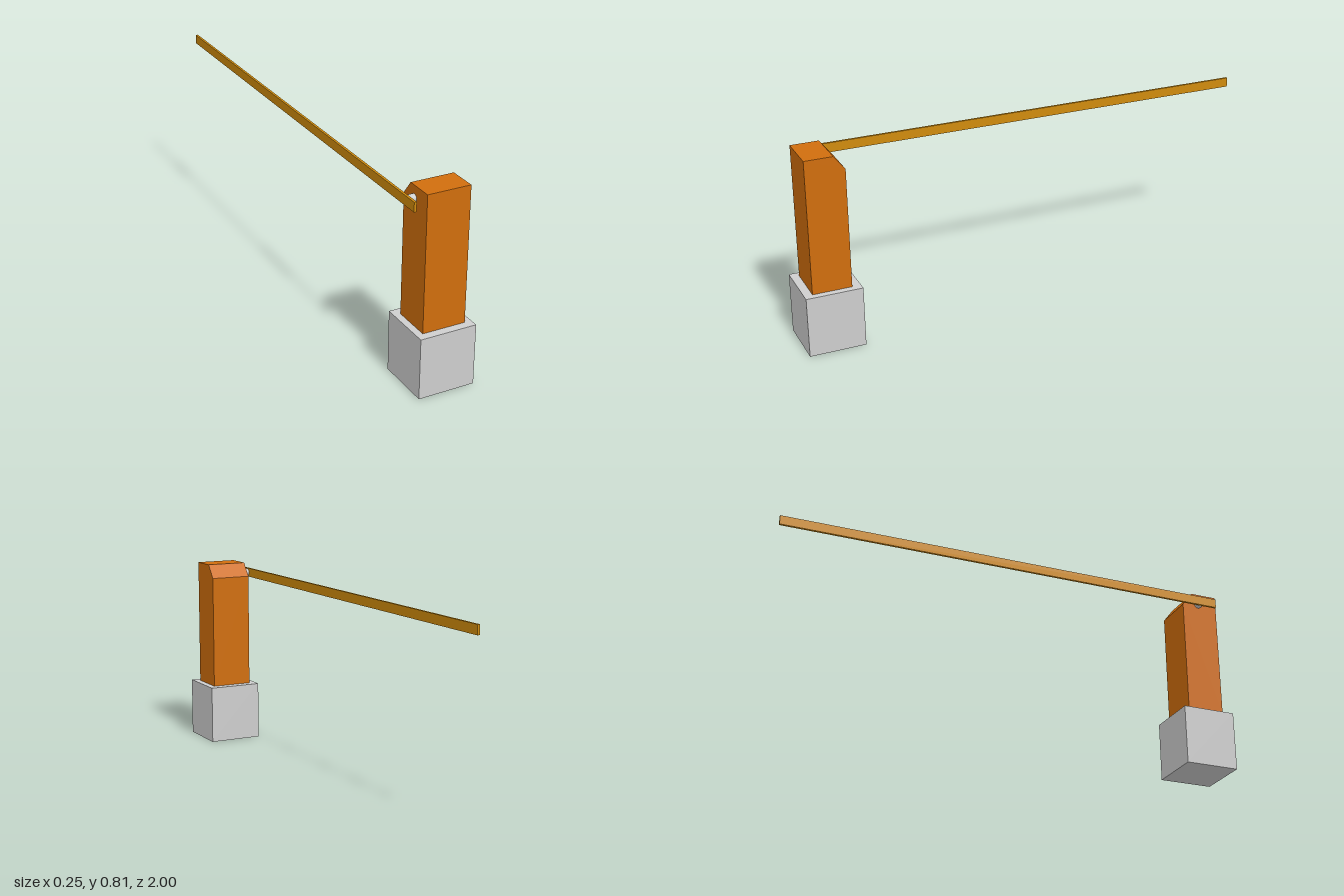
import * as THREE from 'three';

const material = (name, color) => {
  const m = new THREE.MeshStandardMaterial({ color });
  m.name = name;
  return m;
};

export function createModel() {
  const group = new THREE.Group();
  group.name = 'barrierGate';
  const concrete = material('concrete grey', 0xcecece);
  const orange = material('cabinet orange', 0xd06e0d);
  const amber = material('boom amber', 0xd08b0d);

  const add = (name, geometry, mat) => {
    const mesh = new THREE.Mesh(geometry, mat);
    mesh.name = name;
    group.add(mesh);
    return mesh;
  };
  // Box given by its lower and upper corners
  const box = (name, [x0, y0, z0], [x1, y1, z1], mat) =>
    add(name, new THREE.BoxGeometry(x1 - x0, y1 - y0, z1 - z0), mat)
      .position.set((x0 + x1) / 2, (y0 + y1) / 2, (z0 + z1) / 2);

  // Plinth
  box('base', [-0.111, 0, 0.769], [0.123, 0.252, 1], concrete);

  // Cabinet: side profile (z, y) with a sloped rear top edge, extruded along x
  const profile = new THREE.Shape([
    [0.805, 0.252], [0.966, 0.252], [0.966, 0.808], [0.85, 0.808], [0.805, 0.75],
  ].map(([z, y]) => new THREE.Vector2(-z, y)));
  const cabinet = new THREE.ExtrudeGeometry(profile, { depth: 0.178, bevelEnabled: false });
  cabinet.rotateY(Math.PI / 2);
  add('cabinet', cabinet, orange).position.x = -0.083;

  // Pivot shaft between cabinet and boom
  const shaft = new THREE.CylinderGeometry(0.0165, 0.0165, 0.03, 32);
  shaft.rotateZ(Math.PI / 2);
  add('pivotShaft', shaft, concrete).position.set(-0.098, 0.759, 0.878);

  // Long boom reaching to the rear
  box('boom', [-0.123, 0.74, -1], [-0.113, 0.779, 0.945], amber);

  return group;
}
